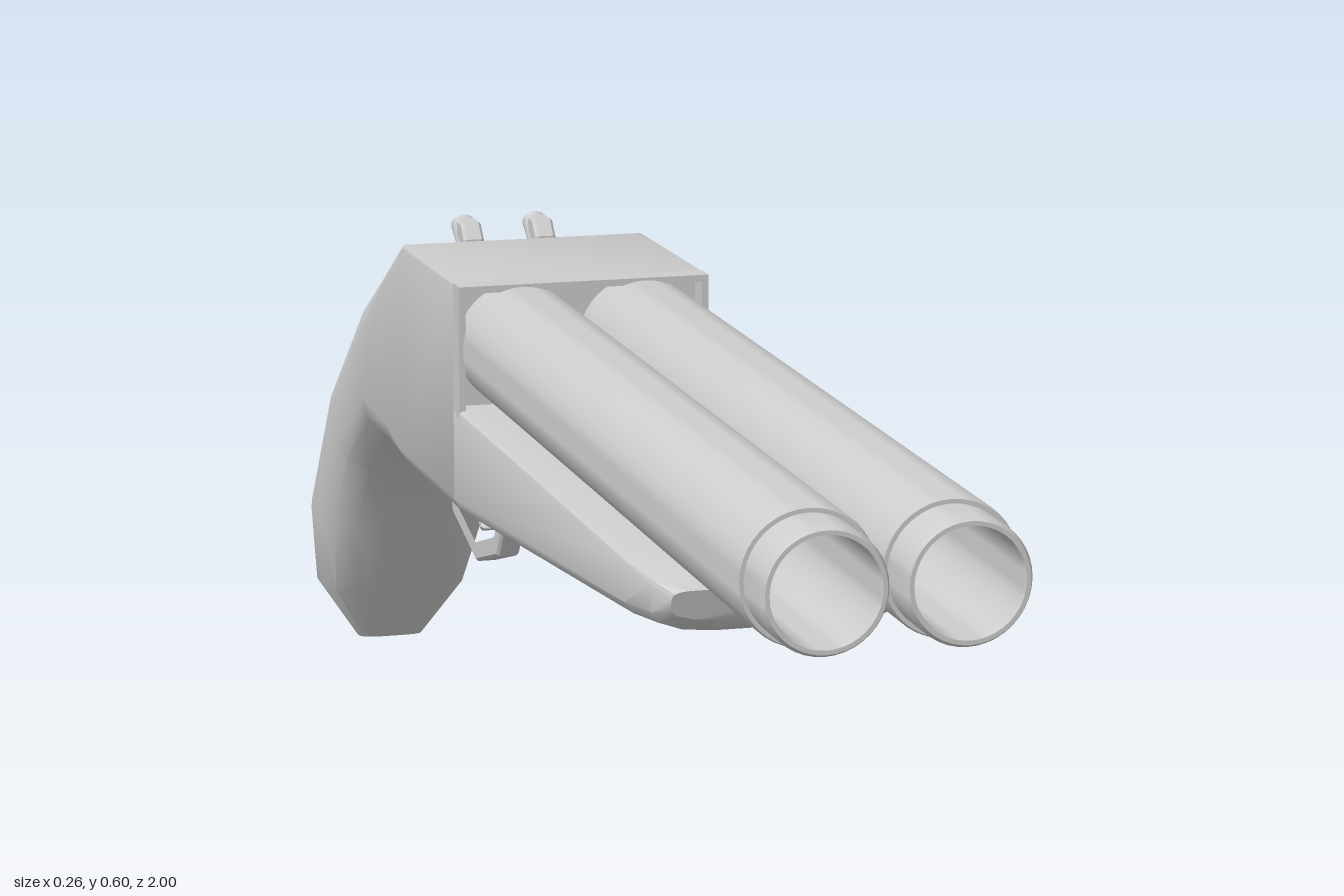
import * as THREE from 'three';
import { toCreasedNormals } from 'three/addons/utils/BufferGeometryUtils.js';

const grey = new THREE.MeshStandardMaterial({ color: 0xcccccc });

function part(name, geometry, parent) {
  const mesh = new THREE.Mesh(geometry, grey);
  mesh.name = name;
  parent.add(mesh);
  return mesh;
}

// Rounded cross-section between a top and a bottom point, listed clockwise from +z.
// Corner radii are fractions of half width (rx) and of height (ry).
function ring({ top, bottom, w, topR, bottomR }) {
  const half = [];
  const steps = 3;
  for (let i = 0; i <= steps; i++) {
    const a = (i / steps) * Math.PI / 2;
    half.push([1 - topR[0] + topR[0] * Math.sin(a), topR[1] * (1 - Math.cos(a))]);
  }
  for (let i = 0; i <= steps; i++) {
    const a = (i / steps) * Math.PI / 2;
    half.push([1 - bottomR[0] + bottomR[0] * Math.cos(a), 1 - bottomR[1] * (1 - Math.sin(a))]);
  }
  const mirrored = half.map(([x, t]) => [-x, t]).reverse();
  return [...half, ...mirrored].map(([x, t]) => new THREE.Vector3(
    x * w,
    THREE.MathUtils.lerp(top[1], bottom[1], t),
    THREE.MathUtils.lerp(top[0], bottom[0], t)
  ));
}

// Closed skin over sections ordered from front to back.
function loft(sections, crease) {
  const rings = sections.map(ring);
  const n = rings[0].length;
  const pos = [];
  const tri = (...pts) => pts.forEach(p => pos.push(p.x, p.y, p.z));
  for (let i = 0; i < rings.length - 1; i++) {
    for (let j = 0; j < n; j++) {
      const k = (j + 1) % n;
      const a = rings[i][j], b = rings[i][k], c = rings[i + 1][j], d = rings[i + 1][k];
      tri(a, b, c);
      tri(b, d, c);
    }
  }
  const first = rings[0], last = rings[rings.length - 1];
  const middle = r => r.reduce((s, p) => s.add(p), new THREE.Vector3()).divideScalar(n);
  const front = middle(first), back = middle(last);
  for (let j = 0; j < n; j++) {
    const k = (j + 1) % n;
    tri(front, first[k], first[j]);
    tri(back, last[j], last[k]);
  }
  const g = new THREE.BufferGeometry();
  g.setAttribute('position', new THREE.Float32BufferAttribute(pos, 3));
  return toCreasedNormals(g, crease);
}

// Side outline in (z, y), extruded evenly about x = 0.
function sidePlate(outline, width, hole) {
  const shape = new THREE.Shape(outline.map(p => new THREE.Vector2(...p)));
  if (hole) shape.holes.push(new THREE.Path(hole.map(p => new THREE.Vector2(...p))));
  const bevel = 0.003;
  const g = new THREE.ExtrudeGeometry(shape, {
    depth: width - 2 * bevel, bevelEnabled: true, bevelSize: bevel,
    bevelThickness: bevel, bevelOffset: -bevel, bevelSegments: 1
  });
  g.translate(0, 0, -(width - 2 * bevel) / 2);
  g.rotateY(-Math.PI / 2);
  return g;
}

export function createModel() {
  const model = new THREE.Group();
  model.name = 'doubleBarrelGun';

  // Receiver flowing into the curved grip
  const section = (top, bottom, w, topR, bottomR) => ({ top, bottom, w, topR, bottomR });
  part('receiverAndGrip', loft([
    section([-0.055, 0.6], [-0.055, 0.35], 0.13, [0.02, 0.01], [0.5, 0.11]),
    section([-0.28, 0.597], [-0.3, 0.345], 0.13, [0.03, 0.015], [0.5, 0.12]),
    section([-0.44, 0.542], [-0.42, 0.335], 0.118, [0.25, 0.12], [0.5, 0.2]),
    section([-0.63, 0.48], [-0.6, 0.315], 0.102, [0.5, 0.3], [0.55, 0.3]),
    section([-0.855, 0.33], [-0.73, 0.245], 0.095, [0.6, 0.35], [0.6, 0.35]),
    section([-0.98, 0.17], [-0.785, 0.165], 0.095, [0.65, 0.35], [0.6, 0.35]),
    section([-0.998, 0.07], [-0.845, 0.08], 0.082, [0.65, 0.35], [0.6, 0.35]),
    section([-0.945, 0.004], [-0.905, 0.008], 0.037, [0.6, 0.35], [0.6, 0.35])
  ], 0.65), model);

  // Raised rim around the breech recess
  const rimShape = new THREE.Shape([
    [-0.13, 0.465], [0.13, 0.465], [0.13, 0.6], [-0.13, 0.6]
  ].map(p => new THREE.Vector2(...p)));
  rimShape.holes.push(new THREE.Path([
    [-0.123, 0.47], [-0.123, 0.593], [0.123, 0.593], [0.123, 0.47]
  ].map(p => new THREE.Vector2(...p))));
  const rim = new THREE.ExtrudeGeometry(rimShape, { depth: 0.025, bevelEnabled: false });
  rim.translate(0, 0, -0.055);
  part('breechRim', rim, model);

  // Tapered fore-end beneath the barrels
  part('foreEnd', loft([
    section([0.682, 0.46], [0.674, 0.43], 0.108, [0.15, 0.2], [0.4, 0.4]),
    section([0.665, 0.47], [0.655, 0.415], 0.122, [0.08, 0.12], [0.5, 0.4]),
    section([0.6, 0.473], [0.6, 0.41], 0.13, [0.03, 0.04], [0.5, 0.35]),
    section([-0.055, 0.473], [-0.055, 0.35], 0.13, [0.03, 0.03], [0.5, 0.22])
  ], 0.65), model);

  // Barrels with stepped muzzles and hollow bores; profile is (radius, z)
  const barrelProfile = [
    [0, -0.055], [0.0625, -0.055], [0.0625, 0.942], [0.061, 0.947], [0.057, 0.947],
    [0.057, 0.994], [0.054, 1], [0.05, 1], [0.049, 0.994], [0.049, 0.4], [0, 0.4]
  ].map(p => new THREE.Vector2(...p));
  // Hammers: slanted rounded thumb piece on a flat stem
  for (const side of [-1, 1]) {
    const prefix = side > 0 ? 'left' : 'right';
    const barrel = new THREE.LatheGeometry(barrelProfile, 40);
    barrel.rotateX(Math.PI / 2);
    part(prefix + 'Barrel', toCreasedNormals(barrel, 0.5), model).position.set(side * 0.0635, 0.535, 0);

    const hammer = new THREE.Group();
    hammer.name = prefix + 'Hammer';
    hammer.position.x = side * 0.039;
    part('hammerStem', sidePlate([
      [-0.335, 0.56], [-0.335, 0.588], [-0.35, 0.604], [-0.372, 0.604], [-0.366, 0.56]
    ], 0.022), hammer);
    const spur = new THREE.CylinderGeometry(0.0125, 0.0125, 0.034, 16);
    spur.rotateX(-1.0);
    part('hammerSpur', toCreasedNormals(spur, 0.6), hammer).position.set(0, 0.587, -0.373);
    model.add(hammer);
  }

  // Trigger guard loop, its upper edge sunk in the receiver
  part('triggerGuard', sidePlate(
    [[-0.335, 0.35], [-0.312, 0.295], [-0.35, 0.238], [-0.445, 0.21], [-0.552, 0.24], [-0.582, 0.3], [-0.575, 0.335]],
    0.025,
    [[-0.352, 0.347], [-0.331, 0.296], [-0.36, 0.254], [-0.445, 0.228], [-0.542, 0.254], [-0.565, 0.3], [-0.558, 0.333]]
  ), model);

  // Curved trigger
  part('trigger', sidePlate([
    [-0.435, 0.35], [-0.448, 0.3], [-0.443, 0.27], [-0.428, 0.25],
    [-0.44, 0.245], [-0.458, 0.265], [-0.466, 0.3], [-0.47, 0.35]
  ], 0.018), model);

  return model;
}
